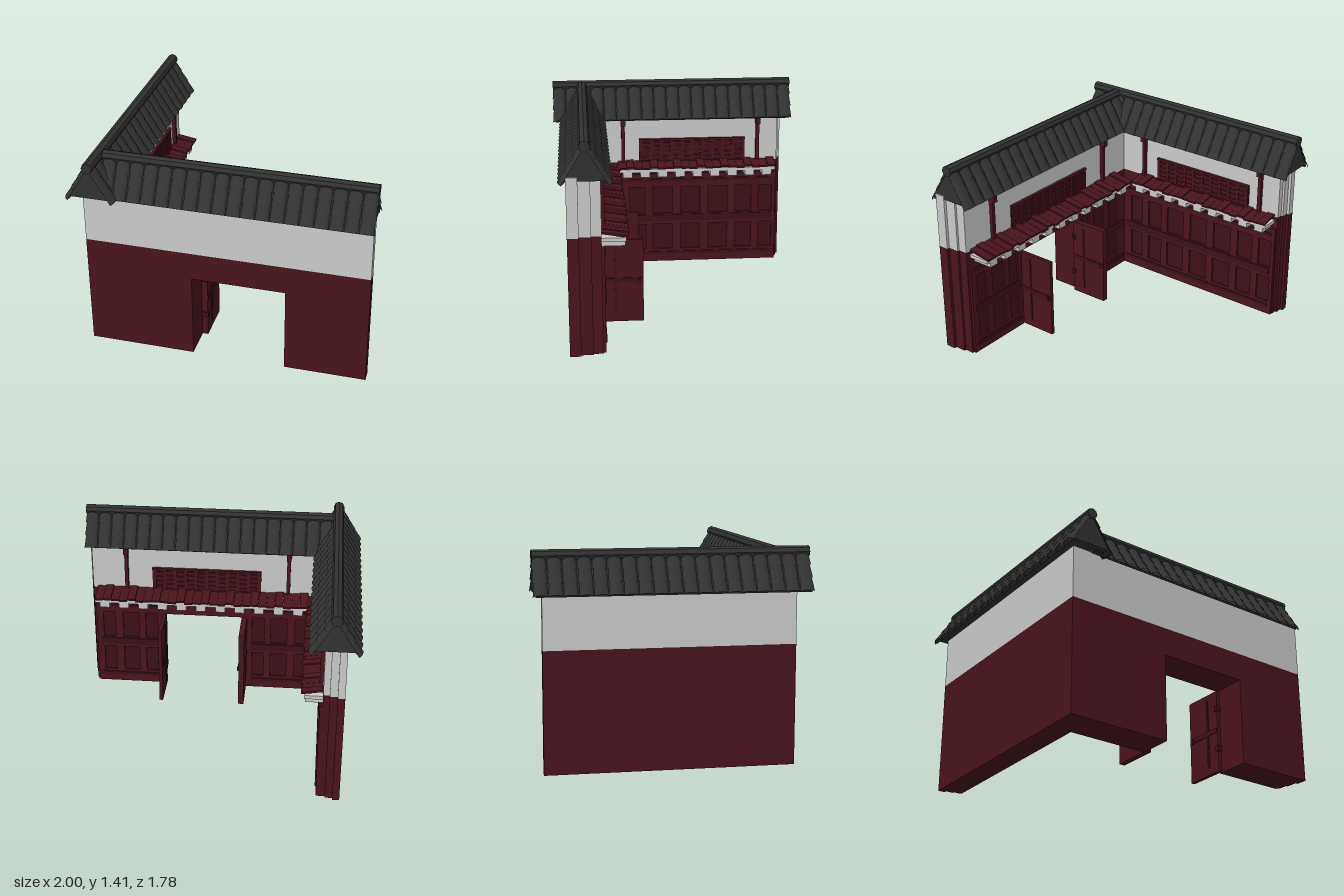
import * as THREE from 'three';
import { mergeGeometries } from 'three/addons/utils/BufferGeometryUtils.js';

const mat = (color) => new THREE.MeshStandardMaterial({ color, flatShading: true, side: THREE.DoubleSide });
const plaster = mat(0xcccccc), wood = mat(0x4a141d), darkWood = mat(0x3c1118), tile = mat(0x323232);

// Box geometry from its limits: u along the wing, y up, w out of the inner face
function block(u0, u1, y0, y1, w0, w1) {
  const g = new THREE.BoxGeometry(Math.abs(u1 - u0), y1 - y0, w1 - w0);
  return g.translate((u0 + u1) / 2, (y0 + y1) / 2, (w0 + w1) / 2);
}
function add(parent, name, geometries, material) {
  const mesh = new THREE.Mesh(mergeGeometries(geometries), material);
  mesh.name = name;
  parent.add(mesh);
}

// Gabled roof along x: barrel tiles in three courses, solid core and ridge
function roof(name, length) {
  const group = new THREE.Group();
  group.name = name;
  const run = 0.142, rise = 0.235, eave = 1.135, tilt = Math.atan2(run, rise);
  const slope = Math.hypot(run, rise), courses = 3;
  const count = Math.round(length / 0.094), pitch = length / count;
  const tiles = [];
  for (const turn of [0, Math.PI]) {
    for (let i = 0; i < count; i++) {
      for (let c = 0; c < courses; c++) {
        const g = new THREE.CylinderGeometry(pitch * 0.44, pitch * 0.53, slope / courses + 0.012, 8, 1, true, -Math.PI / 2, Math.PI);
        g.scale(1, 1, 0.6).rotateX(-tilt);
        const t = (c + 0.5) / courses;
        g.translate((i + 0.5) * pitch - length / 2, eave + rise * t, run * (1 - t));
        tiles.push(g.rotateY(turn));
      }
    }
  }
  add(group, 'roofTiles', tiles, tile);
  const section = new THREE.Shape([[-run, eave - 0.005], [-run + 0.022, eave + 0.018], [run - 0.022, eave + 0.018],
    [run, eave - 0.005], [run + 0.005, eave + 0.008], [0, eave + rise + 0.01], [-run - 0.005, eave + 0.008]]
    .map((p) => new THREE.Vector2(...p)));
  const core = new THREE.ExtrudeGeometry(section, { depth: length - 0.03, bevelEnabled: false });
  core.translate(0, 0, -(length - 0.03) / 2).rotateY(Math.PI / 2);
  add(group, 'roofCore', [core], tile);
  const ridge = new THREE.CylinderGeometry(0.037, 0.037, length, 8).rotateZ(Math.PI / 2);
  add(group, 'ridge', [ridge.translate(0, 1.374, 0)], tile);
  return group;
}

// One straight wing; its inner face is the plane w = 0
function wing(name, s) {
  const group = new THREE.Group();
  group.name = name;
  const sign = Math.sign(s.free), T = -s.thick;

  // Wall in three layers, each stepping back at the free end
  const lower = [], upper = [];
  [[T, T * 0.66, 0], [T * 0.66, T * 0.3, 0.02], [T * 0.3, 0, 0.035]].forEach(([w0, w1, step]) => {
    const end = s.free - sign * step;
    upper.push(block(s.corner, end, 0.79, 1.18, w0, w1));
    if (s.door) {
      lower.push(block(end, s.door[0], 0, 0.79, w0, w1), block(s.door[1], s.corner, 0, 0.79, w0, w1),
        block(s.door[0], s.door[1], 0.595, 0.79, w0, w1));
    } else lower.push(block(s.corner, end, 0, 0.79, w0, w1));
  });
  add(group, 'lowerWall', lower, wood);
  add(group, 'upperWall', upper, plaster);

  // Framed panelling below the ledge
  const frames = [], rails = [], backs = [];
  for (const { range: [a, b], panels } of s.fields) {
    const shape = new THREE.Shape([[a, 0], [b, 0], [b, 0.7], [a, 0.7]].map((p) => new THREE.Vector2(...p)));
    for (const [p, q] of panels) for (const [y0, y1] of [[0.1, 0.3], [0.385, 0.595]]) {
      shape.holes.push(new THREE.Path([[p, y0], [p, y1], [q, y1], [q, y0]].map((v) => new THREE.Vector2(...v))));
    }
    frames.push(new THREE.ExtrudeGeometry(shape, { depth: 0.018, bevelEnabled: false }));
    backs.push(block(a + 0.01, b - 0.01, 0.05, 0.65, 0, 0.004));
    for (const [y0, y1] of [[0.055, 0.08], [0.325, 0.375], [0.64, 0.662]]) {
      rails.push(block(a + 0.03, b - 0.03, y0, y1, 0.018, 0.026));
    }
  }
  add(group, 'panelFrames', frames, wood);
  add(group, 'panelBacks', backs, darkWood);
  add(group, 'panelRails', rails, darkWood);

  // Sloping ledge of planks on a plaster soffit with brackets
  const [l0, l1] = s.ledge, d = s.ledgeDepth, span = l1 - l0;
  const planks = [], brackets = [block(l0, l1, 0.74, 0.765, 0, d - 0.015)];
  const n = Math.round(span / 0.06), step = span / n;
  for (let i = 0; i < n; i++) {
    const g = new THREE.BoxGeometry(step * 0.98, 0.014, d + (i % 2) * 0.008);
    g.rotateX(0.16).translate(l0 + (i + 0.5) * step, 0.784 + (i % 3 === 1 ? 0.008 : 0), d / 2 + (i % 2) * 0.004);
    planks.push(g);
  }
  const teeth = Math.round(span / 0.137);
  for (let i = 0; i < teeth; i++) {
    const u = l0 + (i + 0.25) * span / teeth;
    brackets.push(block(u, u + 0.07, 0.7, 0.745, 0, d - 0.02));
  }
  add(group, 'ledgePlanks', planks, wood);
  add(group, 'ledgeBrackets', brackets, plaster);

  // Posts with a small bracket under the eave
  const posts = s.posts.flatMap((u) => [block(u - 0.013, u + 0.013, 0.79, 1.16, 0, 0.026),
    block(u - 0.017, u + 0.017, 1.08, 1.14, 0, 0.048)]);
  add(group, 'posts', posts, wood);

  // Lattice window: frame, columns and staggered short bars
  const [a, b] = s.lattice, bars = [], cols = 10, w = (b - a - 0.03) / cols;
  add(group, 'latticeBack', [block(a, b, 0.79, 0.972, 0, 0.008)], darkWood);
  for (const y of [0.79, 0.957]) bars.push(block(a, b, y, y + 0.015, 0.008, 0.022));
  for (let i = 0; i <= cols; i++) {
    const u = a + 0.015 + i * w;
    bars.push(block(u - 0.011, u + 0.011, 0.79, 0.972, 0.008, 0.018));
    if (i < cols) for (let r = 0; r < 4; r++) {
      const y = 0.822 + r * 0.036 + (i % 2 ? 0.01 : 0) - 0.005;
      bars.push(block(u, u + w, y, y + 0.014, 0.008, 0.016));
    }
  }
  add(group, 'latticeBars', bars, wood);
  return group;
}

// Door leaf standing open, with a cross of rails and a handle on both sides
function doorLeaf(name, u0, u1) {
  const group = new THREE.Group();
  group.name = name;
  add(group, 'leaf', [block(u0, u1, 0.005, 0.588, 0, 0.285)], wood);
  const e = 0.006;
  add(group, 'doorCross', [block(u0 - e, u1 + e, 0.06, 0.55, 0.09, 0.105),
    block(u0 - e, u1 + e, 0.285, 0.318, 0.004, 0.28)], darkWood);
  const small = [block(u0 - 0.01, u1 + 0.01, 0.28, 0.31, 0.245, 0.265)];
  for (const y of [0.15, 0.44]) small.push(block(u0 - e, u1 + e, y, y + 0.04, -0.008, 0.02));
  add(group, 'handleAndHinges', small, darkWood);
  return group;
}

export function createModel() {
  const model = new THREE.Group();
  model.name = 'courtyardWall';

  // Side wing: u runs towards -z
  const side = wing('sideWing', {
    thick: 0.14, free: 0.83, corner: -0.79, ledge: [-0.41, 0.77], ledgeDepth: 0.135,
    fields: [{ range: [-0.56, 0.79], panels: [[-0.49, -0.385], [-0.325, -0.205], [-0.15, 0], [0.06, 0.21],
      [0.27, 0.42], [0.48, 0.605], [0.66, 0.765]] }],
    posts: [-0.37, 0.645], lattice: [-0.25, 0.55],
  });
  side.rotation.y = Math.PI / 2;
  side.position.x = -0.77;

  // Front wing: u runs towards -x, with the doorway
  const front = wing('frontWing', {
    thick: 0.215, free: -0.99, corner: 0.91, ledge: [-0.92, 0.64], ledgeDepth: 0.17, door: [-0.44, 0.19],
    fields: [
      { range: [-0.94, -0.44], panels: [[-0.89, -0.8], [-0.74, -0.62], [-0.57, -0.48]] },
      { range: [0.19, 0.76], panels: [[0.23, 0.32], [0.37, 0.49], [0.55, 0.65]] },
    ],
    posts: [-0.7, 0.49], lattice: [-0.51, 0.29],
  });
  front.rotation.y = Math.PI;
  front.position.z = 0.575;
  front.add(doorLeaf('leftDoor', -0.44, -0.415), doorLeaf('rightDoor', 0.15, 0.19));
  add(front, 'lintel', [block(-0.44, 0.19, 0.595, 0.7, 0, 0.018)], wood);

  const sideRoof = roof('sideRoof', 1.77);
  sideRoof.rotation.y = Math.PI / 2;
  sideRoof.position.set(-0.832, 0, -0.002);
  const frontRoof = roof('frontRoof', 1.79);
  frontRoof.position.set(0.1, 0, 0.67);

  model.add(side, front, sideRoof, frontRoof);
  return model;
}
